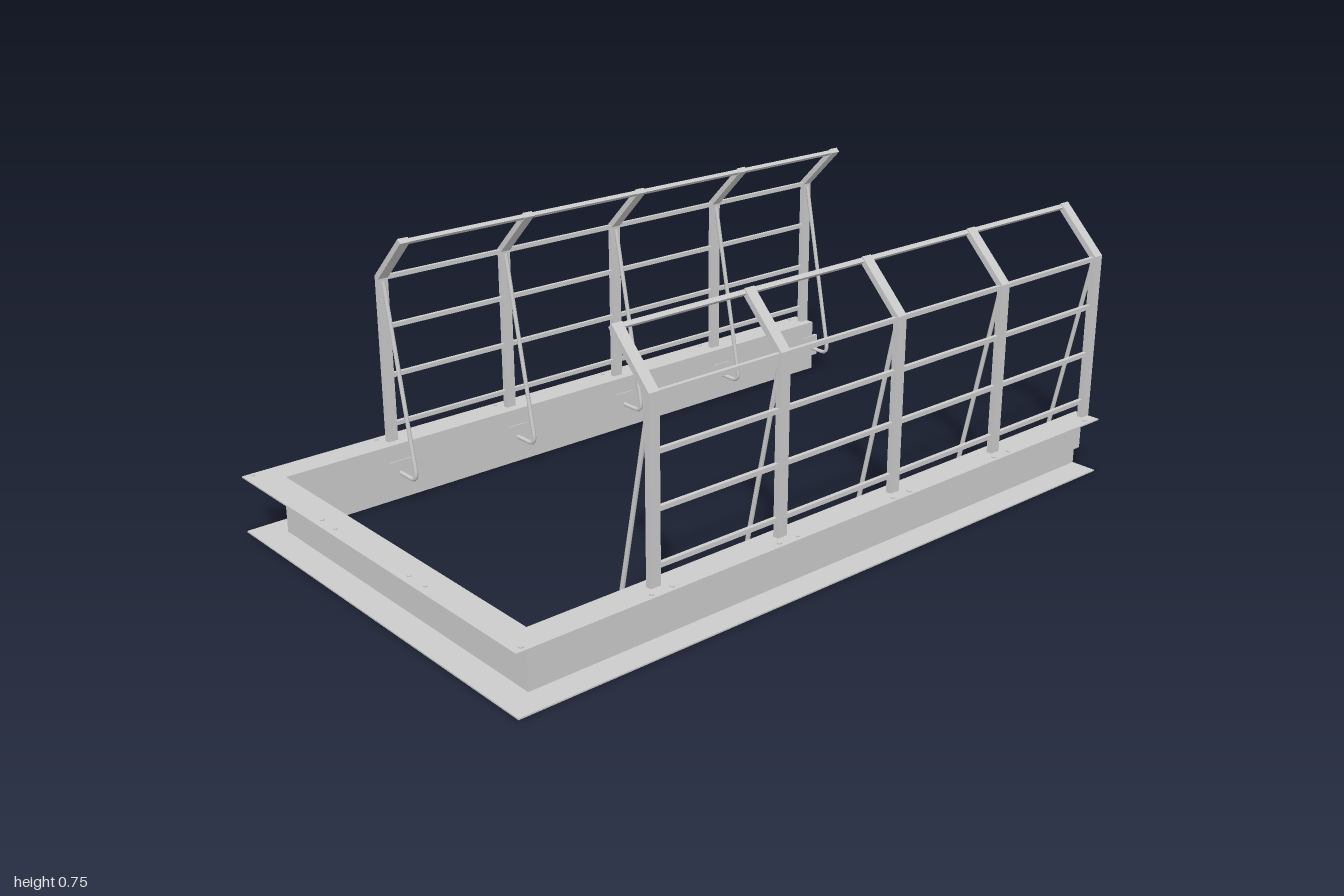
import * as THREE from 'three';

const mat = new THREE.MeshStandardMaterial({ color: 0xcccccc, side: THREE.DoubleSide });
const V = (x, y, z) => new THREE.Vector3(x, y, z);

function add(parent, name, geometry, x = 0, y = 0, z = 0) {
  const mesh = new THREE.Mesh(geometry, mat);
  mesh.name = name;
  mesh.position.set(x, y, z);
  parent.add(mesh);
  return mesh;
}

const extrude = (points, depth) => new THREE.ExtrudeGeometry(
  new THREE.Shape(points.map(([x, y]) => new THREE.Vector2(x, y))),
  { depth, bevelEnabled: false });

// U-shaped plate in plan, open at the back, standing from y0 to y0 + height
function uPlate(parent, name, xIn, zIn, xOut, zOut, y0, height) {
  const back = -0.98;
  const g = extrude([
    [-xOut, back], [-xOut, zOut], [xOut, zOut], [xOut, back],
    [xIn, back], [xIn, zIn], [-xIn, zIn], [-xIn, back],
  ], height);
  g.rotateX(Math.PI / 2);
  add(parent, name, g, 0, y0 + height, 0);
}

// Bent rod that leans inward from the post and hooks back to the web
function strutGeometry(s, z) {
  const path = new THREE.CurvePath();
  const top = V(s * 0.548, 0.61, z);
  const bendStart = V(s * 0.444, 0.11, z);
  const corner = V(s * 0.437, 0.077, z);
  const bendEnd = V(s * 0.465, 0.077, z);
  path.add(new THREE.LineCurve3(top, bendStart));
  path.add(new THREE.QuadraticBezierCurve3(bendStart, corner, bendEnd));
  path.add(new THREE.LineCurve3(bendEnd, V(s * 0.525, 0.077, z)));
  return new THREE.TubeGeometry(path, 60, 0.006, 8);
}

export function createModel() {
  const root = new THREE.Group();
  root.name = 'guardRailFrame';

  // Channel-section base frame
  const frame = new THREE.Group();
  frame.name = 'baseFrame';
  root.add(frame);
  uPlate(frame, 'web', 0.522, 0.917, 0.527, 0.922, 0.005, 0.153);
  uPlate(frame, 'bottomFlange', 0.522, 0.917, 0.6, 1, 0.002, 0.004);
  uPlate(frame, 'topFlange', 0.522, 0.917, 0.6, 1, 0.156, 0.004);

  const boltGeometry = new THREE.CylinderGeometry(0.006, 0.006, 0.004, 6);
  const boltPair = (x, z) => {
    add(frame, 'topBolt', boltGeometry, x, 0.161, z);
    add(frame, 'bottomBolt', boltGeometry, x, 0.002, z);
  };

  // Front web plates and flange bolts
  for (const x of [-0.2, 0.19]) {
    add(frame, 'frontPlate', new THREE.BoxGeometry(0.066, 0.066, 0.01), x, 0.08, 0.9195);
    for (const d of [-0.033, 0.033]) boltPair(x + d, 0.977);
  }

  for (const s of [-1, 1]) {
    const side = new THREE.Group();
    side.name = s > 0 ? 'leftRailing' : 'rightRailing';
    root.add(side);
    const last = s > 0 ? 0.594 : 0.582;
    const posts = [0, 1, 2, 3, 4].map((i) => -0.967 + (i * (last + 0.967)) / 4);

    // Post with its inward-leaning head in one mitred profile
    const postGeometry = extrude([
      [0.548, 0.16], [0.564, 0.16], [0.564, 0.624],
      [0.439, 0.749], [0.428, 0.738], [0.548, 0.617],
    ].map(([x, y]) => [s * x, y]), 0.03);

    for (const z of posts) {
      add(side, 'post', postGeometry, 0, 0, z - 0.015);
      add(side, 'strut', strutGeometry(s, z));
      add(side, 'strutPlate', new THREE.BoxGeometry(0.011, 0.066, 0.066), s * 0.5245, 0.08, z);
      for (const d of [-0.03, 0.03]) if (z + d > -0.98) boltPair(s * 0.585, z + d);
    }
    boltPair(s * 0.585, 0.977);

    // Horizontal rails running through the posts
    const length = last + 0.967;
    const mid = (last - 0.967) / 2;
    const railGeometry = new THREE.BoxGeometry(0.011, 0.012, length);
    for (const y of [0.207, 0.345, 0.482, 0.617]) {
      add(side, 'rail', railGeometry, s * 0.555, y, mid);
    }
    add(side, 'topRail', railGeometry, s * 0.438, 0.738, mid).rotation.z = s * Math.PI / 4;
  }
  return root;
}
